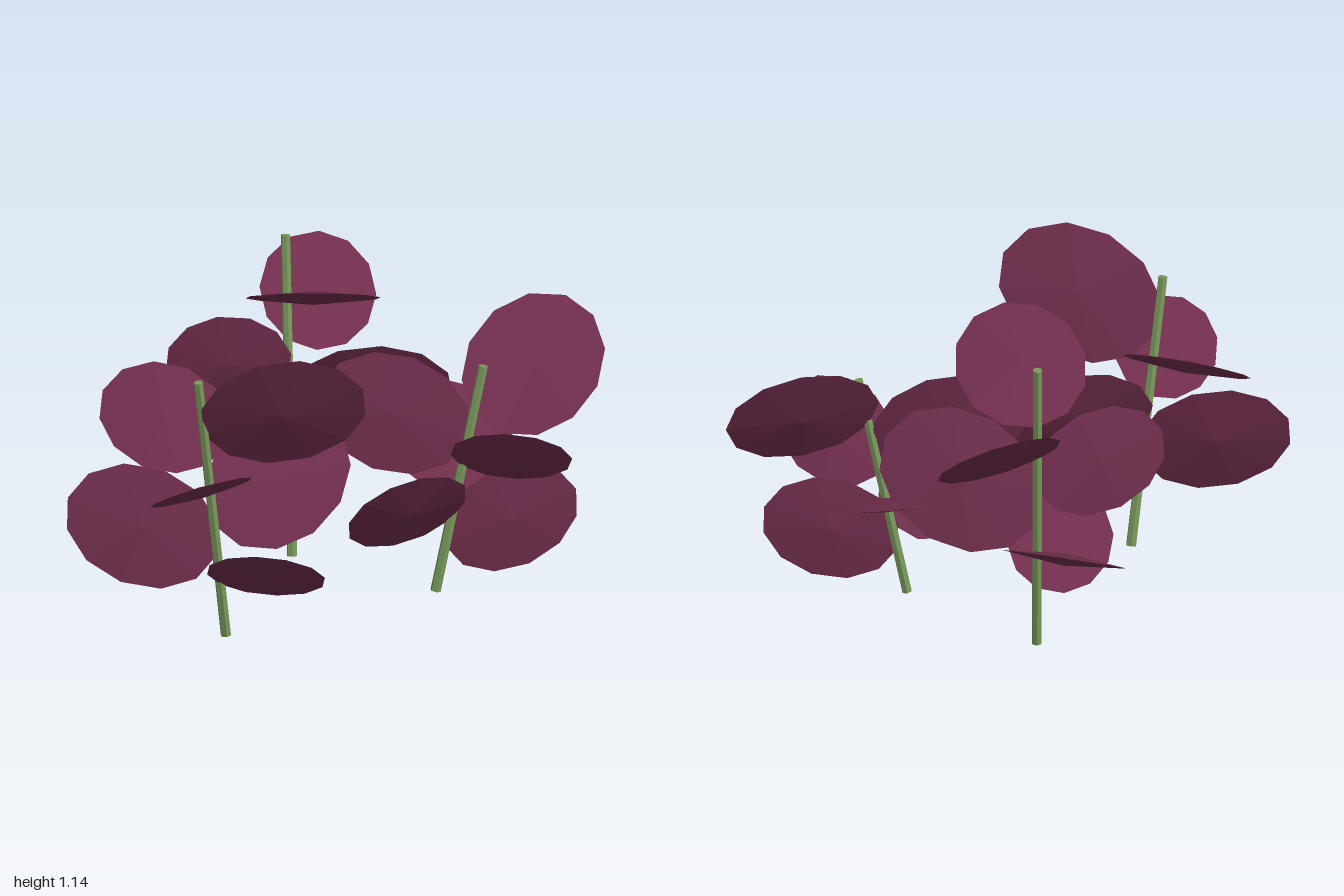
import * as THREE from 'three';

const UP = new THREE.Vector3(0, 1, 0);
const RAD = Math.PI / 180;
const GOLDEN = 137.5; // turn from one leaf to the next
const ELEVATION = 21 * RAD; // rise of every leaf

// Each stem: foot, top, compass angle of its lowest leaf, half lengths of its leaves from low to high
const STEMS = [
  { name: 'leftFrontStem', foot: [-0.46, 0, 0.42], top: [-0.58, 0.98, 0.53], turn: 33,
    leaves: [0.245, 0.28, 0.308, 0.245, 0.283, 0.305] },
  { name: 'backStem', foot: [-0.07, 0, -0.36], top: [-0.06, 1.13, -0.53], turn: -25,
    leaves: [0.248, 0.28, 0.314, 0.245, 0.28, 0.307] },
  { name: 'rightStem', foot: [0.35, 0, 0.1], top: [0.52, 0.82, 0.1], turn: 90,
    leaves: [0.25, 0.275, 0.312, 0.246, 0.278, 0.311] },
];

export function createModel() {
  const model = new THREE.Group();
  model.name = 'plant';
  const stemMaterial = new THREE.MeshStandardMaterial({ color: 0x7a9a5c, flatShading: true });
  const leafMaterial = new THREE.MeshStandardMaterial({ color: 0x6e2d4b, flatShading: true });

  // Thin blade, thickest in the middle and sharp at the rim; stalk end at the origin, tip at y = 2
  const leafGeometry = new THREE.SphereGeometry(1, 12, 2)
    .rotateX(Math.PI / 2)
    .rotateZ(Math.PI / 2)
    .scale(0.75, 1, 0.08)
    .translate(0, 1, 0);

  for (const { name, foot, top, turn, leaves } of STEMS) {
    const plant = new THREE.Group();
    plant.name = name + 'WithLeaves';
    const a = new THREE.Vector3(...foot);
    const b = new THREE.Vector3(...top);
    const axis = b.clone().sub(a);

    // Leaning stem
    const stem = new THREE.Mesh(
      new THREE.CylinderGeometry(0.017, 0.019, axis.length(), 6), stemMaterial);
    stem.name = name;
    stem.position.copy(a).lerp(b, 0.5);
    stem.quaternion.setFromUnitVectors(UP, axis.normalize());
    plant.add(stem);

    // Leaves spiralling up the stem
    leaves.forEach((size, i) => {
      const angle = (turn - GOLDEN * i) * RAD;
      const direction = new THREE.Vector3(
        Math.sin(angle) * Math.cos(ELEVATION),
        Math.sin(ELEVATION),
        Math.cos(angle) * Math.cos(ELEVATION));
      const leaf = new THREE.Mesh(leafGeometry, leafMaterial);
      leaf.name = 'leaf' + (i + 1);
      leaf.position.copy(a).lerp(b, 0.2 + 0.118 * i);
      leaf.quaternion.setFromUnitVectors(UP, direction);
      leaf.scale.setScalar(size);
      plant.add(leaf);
    });
    model.add(plant);
  }
  return model;
}
